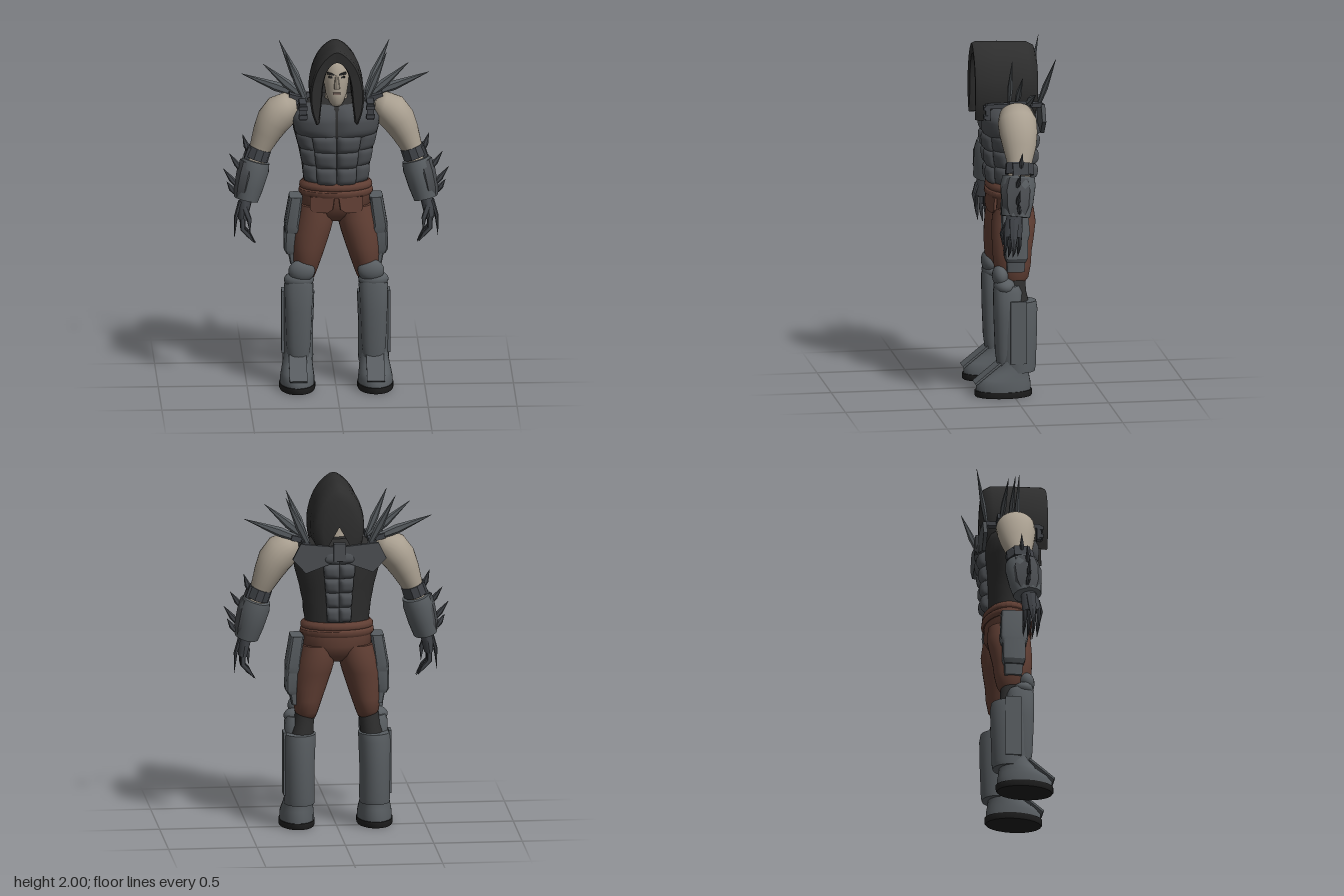
import * as THREE from 'three';
import { toCreasedNormals } from 'three/addons/utils/BufferGeometryUtils.js';

const mat = (name, color) => new THREE.MeshStandardMaterial({ name, color, side: THREE.DoubleSide });
const V = (a) => new THREE.Vector3(...a);
const RAD = Math.PI / 180;

export function createModel() {
  const root = new THREE.Group();
  const skinTone = mat('skin', 0xa99f90), leather = mat('brown leather', 0x613f34);
  const cloth = mat('black cloth', 0x2d2d2d), steel = mat('steel', 0x585d61);
  const chestSteel = mat('dark steel', 0x4b4e52), gauntlet = mat('gauntlet steel', 0x3f4247);
  const rubber = mat('sole rubber', 0x1f1f1f), lip = mat('lip', 0x7d6a62);

  // --- helpers ---
  const finish = (g, crease = 0.75) => {
    g.deleteAttribute('uv');
    g.scale(100, 100, 100);
    g = toCreasedNormals(g, crease);
    return g.scale(0.01, 0.01, 0.01);
  };
  const add = (name, g, m, crease) => {
    const mesh = new THREE.Mesh(finish(g, crease), m);
    mesh.name = name;
    root.add(mesh);
  };
  // the same part on the left (+x) and right (-x)
  const pair = (name, g, m, crease) => {
    const src = g.index ? g.toNonIndexed() : g;
    const f = src.clone().scale(-1, 1, 1), p = f.attributes.position;
    for (let i = 0; i < p.count; i += 3) {
      const b = [p.getX(i + 1), p.getY(i + 1), p.getZ(i + 1)];
      p.setXYZ(i + 1, p.getX(i + 2), p.getY(i + 2), p.getZ(i + 2));
      p.setXYZ(i + 2, ...b);
    }
    f.deleteAttribute('normal');
    add(name + 'Left', src, m, crease);
    add(name + 'Right', f, m, crease);
  };
  // surface through rows of points
  const sheet = (rows) => {
    const pos = [];
    const tri = (a, b, c) => {
      if (b.clone().sub(a).cross(c.clone().sub(a)).length() > 1e-9) pos.push(...a, ...b, ...c);
    };
    for (let i = 0; i < rows.length - 1; i++) for (let j = 0; j < rows[i].length - 1; j++) {
      const a = rows[i][j], b = rows[i + 1][j], c = rows[i + 1][j + 1], d = rows[i][j + 1];
      tri(a, b, d); tri(b, c, d);
    }
    return new THREE.BufferGeometry().setAttribute('position', new THREE.Float32BufferAttribute(pos, 3));
  };
  // closed loft, ring = [x, y, z, rx, rz]; tilt makes rings follow the path
  const loft = (rings, { n = 24, tilt = false, e = 1 } = {}) => {
    const pw = (v) => Math.sign(v) * Math.abs(v) ** e;
    const c = rings.map((r) => V(r.slice(0, 3)));
    const rows = rings.map((r, i) => {
      const t = c[Math.min(i + 1, c.length - 1)].clone().sub(c[Math.max(i - 1, 0)]);
      if (!tilt) t.set(0, Math.sign(t.y), 0);
      t.normalize();
      const u = t.clone().cross(V([0, 0, 1])).normalize(), w = u.clone().cross(t);
      return Array.from({ length: n + 1 }, (_, j) => {
        const a = (j % n) / n * 2 * Math.PI;
        return c[i].clone().addScaledVector(u, r[3] * pw(Math.cos(a))).addScaledVector(w, r[4] * pw(Math.sin(a)));
      });
    });
    const cap = (p) => Array.from({ length: n + 1 }, () => p.clone());
    return sheet([cap(c[0]), ...rows, cap(c[c.length - 1])]);
  };
  const spike = (a, b, w, d = w) => {
    const m = a.map((v, i) => v + (b[i] - v) * 0.4);
    return loft([[...a, w * 0.6, d * 0.6], [...m, w, d], [...b, 0.001, 0.001]], { n: 6, tilt: true });
  };
  const box = (x, y, z, w, h, d, rx = 0, rz = 0) =>
    new THREE.BoxGeometry(w, h, d).rotateX(rx).rotateZ(rz).translate(x, y, z);
  const ball = (x, y, z, a, b, c) => new THREE.SphereGeometry(1, 20, 14).scale(a, b, c).translate(x, y, z);
  const slab = (pts, depth, z) => new THREE.ExtrudeGeometry(
    new THREE.Shape(pts.map((p) => new THREE.Vector2(...p))), { depth, bevelEnabled: false }).translate(0, 0, z);

  // --- torso ---
  const torso = [[0, 1.14, -0.015, 0.18, 0.115], [0, 1.2, -0.015, 0.182, 0.12], [0, 1.3, -0.015, 0.193, 0.125],
    [0, 1.4, -0.01, 0.213, 0.135], [0, 1.5, -0.01, 0.24, 0.148], [0, 1.58, -0.01, 0.25, 0.15],
    [0, 1.64, -0.015, 0.21, 0.13], [0, 1.68, -0.02, 0.13, 0.09]];
  add('torso', loft(torso, { n: 32 }), cloth);
  const onTorso = (y, a, off) => {
    let i = 0;
    while (i < torso.length - 2 && torso[i + 1][1] < y) i++;
    const f = (y - torso[i][1]) / (torso[i + 1][1] - torso[i][1]);
    const k = (q) => torso[i][q] + (torso[i + 1][q] - torso[i][q]) * f;
    return new THREE.Vector3((k(3) + off) * Math.cos(a), y, k(2) + (k(4) + off) * Math.sin(a));
  };
  // swollen armour plate lying on the torso
  const plate = (y0, y1, a0, a1, h) => {
    const N = 10;
    return sheet(Array.from({ length: N + 1 }, (_, i) => Array.from({ length: N + 1 }, (_, j) => {
      const v = i / N * 2 - 1, u = j / N * 2 - 1;
      const off = -0.006 + h * (1 - v ** 4) * (1 - u ** 4);
      return onTorso(y0 + (y1 - y0) * i / N, (a0 + (a1 - a0) * j / N) * RAD, off);
    })));
  };
  pair('chestPlate', plate(1.46, 1.665, 14, 91, 0.034), chestSteel);
  [1.375, 1.28, 1.185].forEach((y, i) => {
    pair('abdomenPlate' + i, plate(y, y + 0.115, 52, 91, 0.034), chestSteel);
    pair('ribPlate' + i, plate(y + 0.01, y + 0.125, 16, 56, 0.026), chestSteel);
  });
  for (let i = 0; i < 5; i++) pair('spinePlate' + i, plate(1.2 + i * 0.085, 1.295 + i * 0.085, -112, -89, 0.042), chestSteel);
  pair('backWing', slab([[0.03, 1.56], [0.19, 1.5], [0.265, 1.58], [0.22, 1.67], [0.03, 1.65]], 0.022, -0.183), chestSteel);
  add('backRidge', box(0, 1.62, -0.178, 0.07, 0.1, 0.035), chestSteel);

  // --- shoulder harness and blades ---
  pair('shoulderStrap', box(0.19, 1.665, -0.015, 0.04, 0.025, 0.31), gauntlet);
  pair('strapFront', box(0.19, 1.63, 0.14, 0.04, 0.09, 0.025), gauntlet);
  [1.605, 1.655].forEach((y, i) => pair('buckle' + i, box(0.19, y, 0.152, 0.05, 0.022, 0.022), gauntlet));
  pair('shoulderMount', box(0.225, 1.68, -0.04, 0.08, 0.03, 0.13, 0, 0.25), gauntlet);
  [[[0.2, 1.67, -0.08], [0.53, 1.8, -0.08], 0.028], [[0.18, 1.67, -0.025], [0.41, 1.87, -0.025], 0.026],
    [[0.17, 1.65, -0.15], [0.31, 1.95, -0.23], 0.024], [[0.17, 1.66, 0.015], [0.285, 1.94, 0.015], 0.022]]
    .forEach(([a, b, w], i) => pair('shoulderBlade' + i, spike(a, b, w, 0.016), steel, 0.3));

  // --- head and face ---
  add('neck', loft([[0, 1.62, 0, 0.065, 0.065], [0, 1.75, 0.01, 0.06, 0.065]]), skinTone);
  add('head', loft([[0, 1.655, 0.085, 0.025, 0.03], [0, 1.675, 0.07, 0.042, 0.06], [0, 1.72, 0.05, 0.06, 0.085],
    [0, 1.78, 0.04, 0.07, 0.095], [0, 1.84, 0.035, 0.074, 0.097], [0, 1.9, 0.025, 0.062, 0.088],
    [0, 1.94, 0.01, 0.03, 0.05]]), skinTone, 1.2);
  add('nose', loft([[0, 1.765, 0.14, 0.017, 0.02], [0, 1.78, 0.14, 0.016, 0.02], [0, 1.84, 0.127, 0.008, 0.01]], { n: 8 }), skinTone);
  add('lips', box(0, 1.735, 0.133, 0.042, 0.012, 0.012), lip);
  pair('brow', box(0.034, 1.847, 0.122, 0.042, 0.01, 0.016, 0, 0.25), cloth);
  pair('eye', box(0.033, 1.827, 0.122, 0.026, 0.009, 0.009, 0, 0.12), cloth);

  // --- hood: inner wall, rim, outer wall, closed back ---
  const outer = [[0.118, 1.565], [0.143, 1.64], [0.152, 1.72], [0.145, 1.8], [0.11, 1.9], [0.055, 1.97], [0, 2]];
  const inner = [[0.1, 1.575], [0.092, 1.64], [0.084, 1.72], [0.078, 1.79], [0.058, 1.87], [0.028, 1.912], [0, 1.925]];
  const arch = (half, z, sx, sy, lift = 0) => {
    const q = half.map(([x, y], i) => [x * sx, 1.76 + (y - 1.76) * sy + lift * (1 - i / 6), z]);
    const all = [...q.slice(0, -1).map(([x, y, w]) => [-x, y, w]), ...q.slice().reverse()];
    return new THREE.CatmullRomCurve3(all.map(V)).getPoints(36);
  };
  add('hood', sheet([arch(inner, -0.06, 1, 1), arch(inner, 0.17, 1, 1), arch(inner, 0.195, 1.08, 1.03),
    arch(outer, 0.2, 0.94, 0.96), arch(outer, 0.18, 1, 1), arch(outer, 0.08, 1, 0.99, 0.01), arch(outer, -0.03, 1, 0.97, 0.03),
    arch(outer, -0.11, 0.95, 0.95, 0.03), arch(outer, -0.15, 0.82, 0.86), arch(outer, -0.165, 0.6, 0.65),
    arch(outer, -0.17, 0, 0)]), cloth, 1.0);

  // --- arms ---
  pair('upperArm', loft([[0.22, 1.63, -0.01, 0.05, 0.06], [0.26, 1.625, -0.01, 0.083, 0.095], [0.31, 1.595, -0.01, 0.1, 0.11],
    [0.355, 1.54, -0.01, 0.095, 0.108], [0.39, 1.47, -0.01, 0.08, 0.095], [0.42, 1.4, -0.005, 0.064, 0.075],
    [0.44, 1.35, 0, 0.055, 0.062], [0.465, 1.27, 0.01, 0.06, 0.065]], { tilt: true }), skinTone, 1.2);
  pair('elbowBand', loft([[0.427, 1.385, -0.005, 0.066, 0.08], [0.448, 1.325, 0, 0.068, 0.084]], { n: 10, tilt: true }), gauntlet, 0.4);
  pair('elbowPlate', box(0.492, 1.365, 0, 0.03, 0.07, 0.09, 0, 0.35), gauntlet);
  pair('bracer', loft([[0.45, 1.315, 0.005, 0.078, 0.092], [0.462, 1.27, 0.01, 0.087, 0.1], [0.488, 1.17, 0.02, 0.08, 0.092],
    [0.506, 1.095, 0.03, 0.068, 0.08]], { tilt: true, n: 20 }), steel);
  pair('bracerPlate', loft([[0.482, 1.31, 0.015, 0.06, 0.075], [0.5, 1.25, 0.02, 0.06, 0.092], [0.518, 1.16, 0.025, 0.058, 0.085],
    [0.53, 1.105, 0.03, 0.045, 0.06]], { tilt: true, n: 8 }), chestSteel, 0.3);
  [[[0.49, 1.36, 0], [0.525, 1.465, -0.005]], [[0.53, 1.26, 0.03], [0.6, 1.36, 0.015]], [[0.555, 1.17, 0.03], [0.635, 1.275, 0.025]],
    [[0.57, 1.13, 0.02], [0.615, 1.2, 0.03]]].forEach(([a, b], i) => pair('bracerSpike' + i, spike(a, b, 0.017, 0.013), gauntlet, 0.3));
  // clawed hands
  pair('palm', loft([[0.505, 1.11, 0.035, 0.035, 0.042], [0.518, 1.05, 0.045, 0.033, 0.052], [0.527, 0.985, 0.05, 0.026, 0.052]],
    { tilt: true, n: 12 }), gauntlet);
  for (let i = 0; i < 4; i++) {
    const z = 0.012 + i * 0.026, d = Math.abs(i - 1.5) * 0.008;
    pair('finger' + i, loft([[0.528, 1, z, 0.015, 0.013], [0.527, 0.935, z, 0.014, 0.012],
      [0.495, 0.89 + d, z, 0.012, 0.01], [0.45 + d, 0.845 + d, z, 0.001, 0.001]], { n: 8, tilt: true }), gauntlet);
  }
  pair('thumb', loft([[0.515, 1.06, 0.085, 0.016, 0.014], [0.492, 1, 0.108, 0.014, 0.012], [0.487, 0.92, 0.1, 0.001, 0.001]],
    { n: 8, tilt: true }), gauntlet);
  pair('handBlade', loft([[0.54, 1.09, 0.045, 0.012, 0.03], [0.565, 1.0, 0.05, 0.011, 0.025], [0.573, 0.88, 0.055, 0.001, 0.001]],
    { n: 6, tilt: true }), gauntlet, 0.3);

  // --- belt and trousers ---
  add('belt', loft([[0, 1.115, -0.015, 0.198, 0.132], [0, 1.13, -0.015, 0.21, 0.142], [0, 1.15, -0.015, 0.208, 0.14],
    [0, 1.157, -0.015, 0.2, 0.132], [0, 1.165, -0.015, 0.206, 0.138], [0, 1.185, -0.015, 0.204, 0.136],
    [0, 1.2, -0.015, 0.188, 0.122]], { n: 32 }), leather);
  add('hips', loft([[0, 0.965, -0.02, 0.06, 0.06], [0, 1.0, -0.02, 0.13, 0.1], [0, 1.06, -0.02, 0.195, 0.125],
    [0, 1.13, -0.015, 0.195, 0.125]], { n: 32 }), leather, 1.2);
  pair('trouserLeg', loft([[0.17, 0.635, -0.01, 0.05, 0.06], [0.172, 0.67, -0.01, 0.066, 0.085], [0.165, 0.74, -0.005, 0.083, 0.105],
    [0.153, 0.82, -0.005, 0.098, 0.112], [0.137, 0.9, -0.012, 0.108, 0.12], [0.118, 0.98, -0.02, 0.11, 0.125],
    [0.108, 1.06, -0.02, 0.1, 0.115]]), leather, 1.2);
  pair('hipFlap', slab([[0.01, 1.12], [0.02, 1.05], [0.05, 1.03], [0.13, 1.03], [0.15, 1.05], [0.15, 1.12]], 0.016, 0)
    .rotateY(0.2).rotateX(-0.06).translate(0, 0.005, 0.175), leather);

  // --- thigh guards ---
  pair('thighGuardTop', loft([[0.238, 0.9, -0.01, 0.052, 0.07], [0.25, 0.94, -0.01, 0.042, 0.08], [0.225, 1.11, -0.005, 0.038, 0.075]],
    { n: 16, e: 0.4 }), steel, 0.5);
  pair('thighGuardMiddle', loft([[0.252, 0.775, -0.012, 0.028, 0.055], [0.258, 0.8, -0.012, 0.036, 0.065], [0.252, 0.92, -0.012, 0.04, 0.065]],
    { n: 16, e: 0.4 }), steel, 0.5);
  pair('thighGuardBottom', loft([[0.238, 0.715, -0.012, 0.02, 0.05], [0.245, 0.8, -0.012, 0.03, 0.055]], { n: 16, e: 0.4 }), steel, 0.5);

  // --- lower legs ---
  pair('kneeSock', loft([[0.205, 0.48, -0.02, 0.07, 0.085], [0.19, 0.59, -0.01, 0.06, 0.07], [0.175, 0.68, -0.01, 0.055, 0.065]]), cloth);
  pair('kneePlate', ball(0.195, 0.685, 0.068, 0.075, 0.065, 0.046), steel);
  pair('kneeLip', ball(0.21, 0.63, 0.048, 0.085, 0.05, 0.06), steel);
  pair('greave', loft([[0.213, 0.14, -0.025, 0.085, 0.1], [0.213, 0.17, -0.025, 0.087, 0.106], [0.215, 0.35, -0.025, 0.088, 0.112],
    [0.213, 0.5, -0.027, 0.092, 0.113], [0.21, 0.545, -0.025, 0.09, 0.108]]), steel);
  pair('shinPlate', loft([[0.212, 0.18, 0.035, 0.06, 0.055], [0.212, 0.25, 0.035, 0.07, 0.065], [0.212, 0.45, 0.03, 0.078, 0.078],
    [0.21, 0.6, 0.03, 0.083, 0.08], [0.208, 0.635, 0.035, 0.07, 0.068]], { n: 20, e: 0.8 }), steel);
  pair('calfStrip', box(0.298, 0.375, -0.02, 0.016, 0.36, 0.09), steel);

  // --- boots ---
  pair('boot', loft([[0.22, 0.03, 0.055, 0.097, 0.155], [0.22, 0.07, 0.055, 0.097, 0.156], [0.219, 0.1, 0.045, 0.092, 0.14],
    [0.217, 0.135, 0.02, 0.086, 0.11], [0.214, 0.18, 0, 0.08, 0.09], [0.214, 0.24, -0.01, 0.076, 0.085]]), steel, 1.2);
  pair('sole', loft([[0.22, 0, 0.055, 0.098, 0.158], [0.22, 0.008, 0.055, 0.102, 0.164], [0.22, 0.036, 0.055, 0.102, 0.164]]), rubber);
  pair('toeFlap', box(0.218, 0.135, 0.147, 0.1, 0.012, 0.185, 0.68), steel);
  return root;
}
